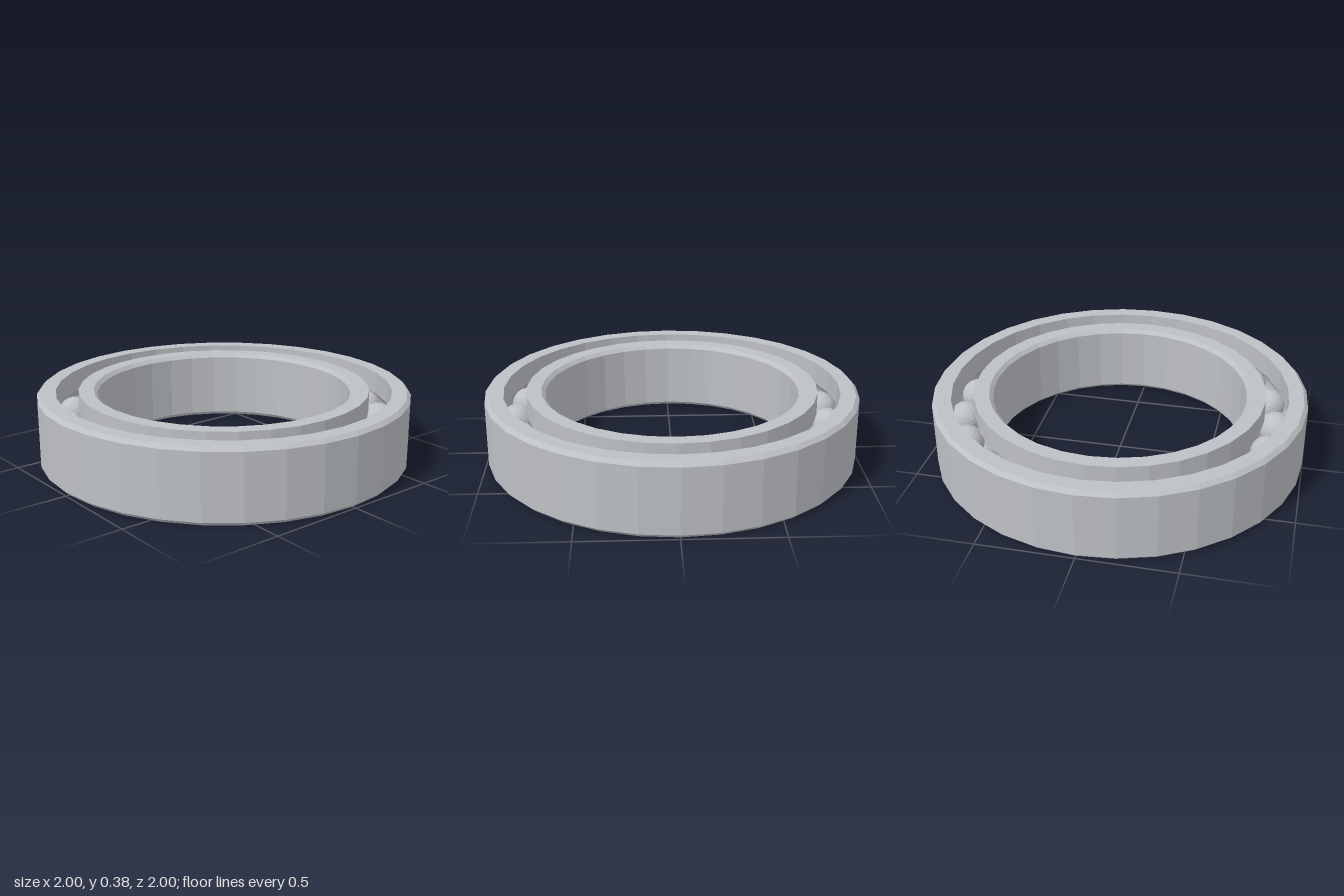
import * as THREE from 'three';

const HEIGHT = 0.385, CHAMFER = 0.02, MID = HEIGHT / 2;
const SEGMENTS = 32, BALLS = 21;
const PITCH = 0.84, BALL_RADIUS = 0.09, GROOVE_RADIUS = 0.094;

const steel = new THREE.MeshStandardMaterial({ color: 0xbdc0c5, flatShading: true });
steel.name = 'steel';

// Points of the ball groove in a race wall; side is 1 for the outer ring, -1 for the inner
function groove(wall, side) {
  const half = Math.acos(Math.abs(wall - PITCH) / GROOVE_RADIUS);
  const points = [];
  for (let i = 0; i <= 8; i++) {
    const a = half * (1 - i / 4) * side;
    points.push([PITCH + side * GROOVE_RADIUS * Math.cos(a), MID + GROOVE_RADIUS * Math.sin(a)]);
  }
  return points;
}

// Revolves a closed counterclockwise profile of [radius, height] into a faceted ring
function ring(name, profile) {
  const points = [...profile, profile[0]].map(([r, y]) => new THREE.Vector2(r, y));
  const geometry = new THREE.LatheGeometry(points, SEGMENTS).toNonIndexed();
  geometry.computeVertexNormals();
  const mesh = new THREE.Mesh(geometry, steel);
  mesh.name = name;
  return mesh;
}

export function createModel() {
  const model = new THREE.Group();
  model.name = 'ballBearing';

  // Outer ring: chamfered outside, grooved inside
  model.add(ring('outerRing', [
    [1 - CHAMFER, 0], [1, CHAMFER], [1, HEIGHT - CHAMFER], [1 - CHAMFER, HEIGHT],
    [0.9, HEIGHT], ...groove(0.9, 1), [0.9, 0],
  ]));

  // Inner ring: grooved outside, chamfered around the bore
  model.add(ring('innerRing', [
    [0.78, 0], ...groove(0.78, -1), [0.78, HEIGHT],
    [0.68 + CHAMFER, HEIGHT], [0.68, HEIGHT - CHAMFER], [0.68, CHAMFER], [0.68 + CHAMFER, 0],
  ]));

  // Balls evenly spaced in the race
  const balls = new THREE.Group();
  balls.name = 'balls';
  const ballGeometry = new THREE.IcosahedronGeometry(BALL_RADIUS, 3);
  ballGeometry.computeVertexNormals();
  for (let i = 0; i < BALLS; i++) {
    const a = (i / BALLS) * Math.PI * 2;
    const ball = new THREE.Mesh(ballGeometry, steel);
    ball.name = 'ball';
    ball.position.set(PITCH * Math.cos(a), MID, PITCH * Math.sin(a));
    ball.rotation.y = -a;
    balls.add(ball);
  }
  model.add(balls);
  return model;
}
